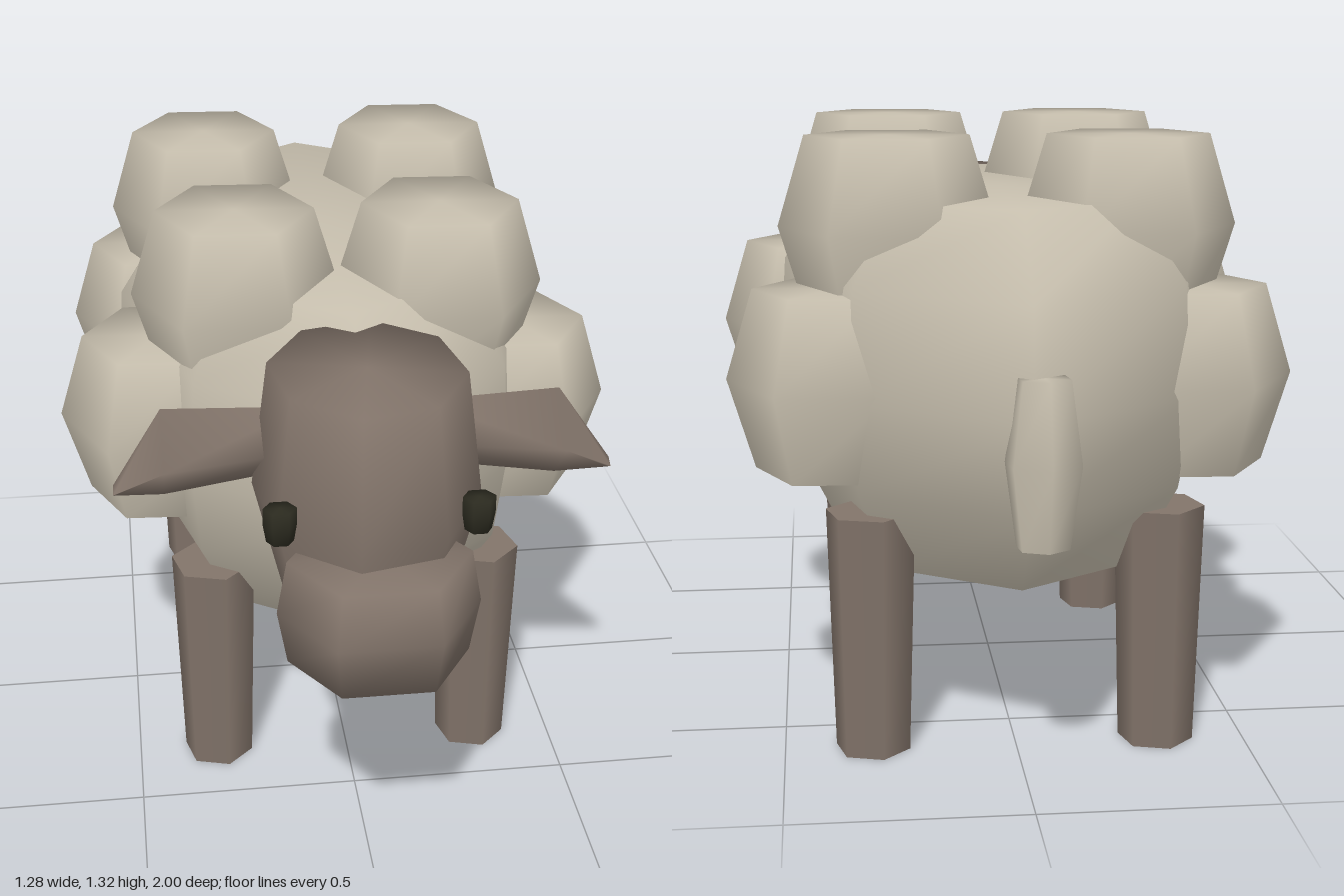
import * as THREE from 'three';

const mat = (name, color) => {
  const m = new THREE.MeshStandardMaterial({ color, side: THREE.DoubleSide });
  m.name = name;
  return m;
};

// Smooth lofted blob: rings are [y, rx, rz, cx, cz], bottom to top, with a flat lid on top
function blob(rings, sides, phase = 0, closedBottom = false) {
  const pos = [], idx = [];
  for (const [y, rx, rz, cx = 0, cz = 0] of rings) {
    for (let i = 0; i < sides; i++) {
      const a = phase + (i / sides) * Math.PI * 2;
      pos.push(cx + rx * Math.cos(a), y, cz + rz * Math.sin(a));
    }
  }
  for (let r = 0; r < rings.length - 1; r++) {
    for (let i = 0; i < sides; i++) {
      const a = r * sides + i, b = r * sides + (i + 1) % sides;
      idx.push(a, a + sides, b, b, a + sides, b + sides);
    }
  }
  const cap = (r, up) => {
    const [y, , , cx = 0, cz = 0] = rings[r];
    const c = pos.length / 3;
    pos.push(cx, y, cz);
    for (let i = 0; i < sides; i++) {
      const a = r * sides + i, b = r * sides + (i + 1) % sides;
      if (up) idx.push(a, c, b); else idx.push(a, b, c);
    }
  };
  cap(rings.length - 1, true);
  if (closedBottom) cap(0, false);
  const g = new THREE.BufferGeometry();
  g.setAttribute('position', new THREE.Float32BufferAttribute(pos, 3));
  g.setIndex(idx);
  g.computeVertexNormals();
  return g;
}

// Barrel with narrower ends
const barrel = (rx, rz, h, end, sides, phase, closed) =>
  blob([[-h, rx * end, rz * end], [0, rx, rz], [h, rx * end, rz * end]], sides, phase, closed);

export function createModel() {
  const model = new THREE.Group();
  const wool = mat('wool', 0xc6bead);
  const skin = mat('skin', 0x82746a);
  const dark = mat('eyeDark', 0x2c2b20);

  const add = (name, geo, material, x, y, z) => {
    const mesh = new THREE.Mesh(geo, material);
    mesh.name = name;
    mesh.position.set(x, y, z);
    model.add(mesh);
    return mesh;
  };

  // Body, open underneath
  const bodyProfile = [[-0.395, 0.75], [-0.2, 0.95], [0, 1], [0.23, 0.97], [0.395, 0.75]];
  add('body', blob(bodyProfile.map(([y, s]) => [y, 0.5 * s, 0.79 * s]), 8), wool, 0, 0.78, -0.16);

  // Wool tufts in mirrored pairs
  const tuft = barrel(0.235, 0.25, 0.194, 0.75, 6, 0.06, false);
  const tufts = [
    ['upperFrontTuft', 0.23, 1.13, 0.16],
    ['upperBackTuft', 0.26, 1.115, -0.46],
    ['lowerFrontTuft', 0.405, 0.822, 0.12],
    ['lowerBackTuft', 0.375, 0.798, -0.53],
  ];
  for (const [name, x, y, z] of tufts) {
    for (const s of [1, -1]) add(name, tuft, wool, s * x, y, z);
  }

  // Tail
  add('tail', barrel(0.08, 0.07, 0.17, 0.7, 6, 0.4, false), wool, -0.02, 0.7, -0.93);

  // Head and muzzle
  add('head', blob([
    [-0.28, 0.17, 0.2], [0, 0.24, 0.285], [0.28, 0.205, 0.24],
  ], 8, 0.2), skin, 0, 0.868, 0.635);
  add('muzzle', barrel(0.21, 0.185, 0.118, 0.9, 6, 0, true), skin, 0, 0.707, 0.84);

  // Ears point outward and droop at the tip
  const ear = blob([
    [0.12, 0.07, 0.065, -0.02, 0], [0.42, 0.1, 0.1, 0, -0.005], [0.525, 0.012, 0.02, 0.06, 0.04],
  ], 4, 0, true);
  ear.rotateZ(-Math.PI / 2);

  const eye = blob([[-0.037, 0.028, 0.026], [0, 0.034, 0.03], [0.037, 0.034, 0.03]], 6, 0, true);
  const leg = new THREE.CylinderGeometry(0.097, 0.082, 0.53, 6);
  leg.rotateY(0.25);

  for (const s of [1, -1]) {
    add('ear', ear, skin, 0, 0.945, 0.57).scale.x = s;
    add('eye', eye, dark, s * 0.2, 0.907, 0.83);
    add('frontLeg', leg, skin, s * 0.31, 0.265, 0.32);
    add('backLeg', leg, skin, s * 0.31, 0.265, -0.625);
  }
  return model;
}
